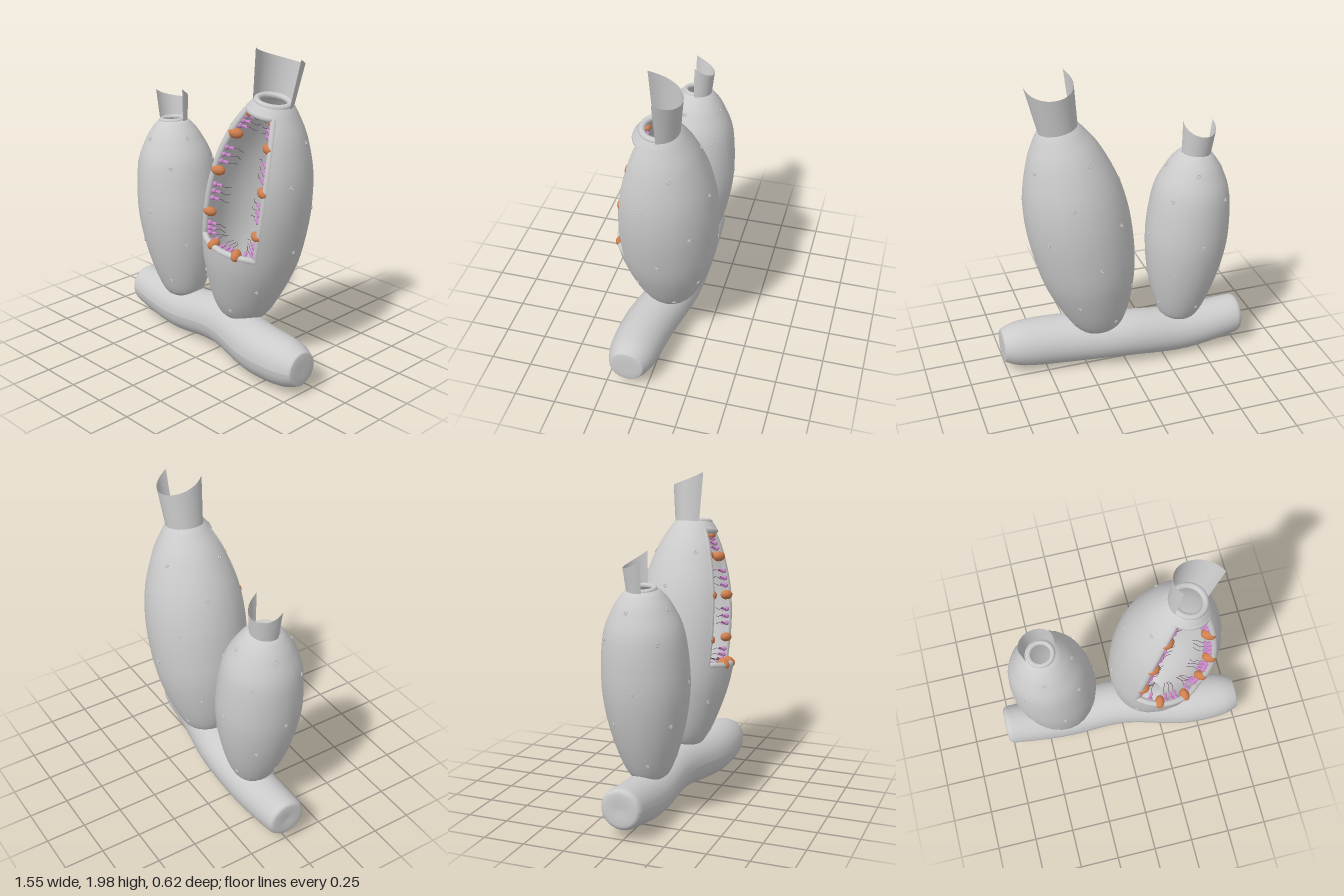
import * as THREE from 'three';

const RAD = Math.PI / 180;
const SEG = 24, START = -42 * RAD, CUT = 6; // the window spans 6 of 24 lathe segments
const mat = (color, side = THREE.FrontSide) => new THREE.MeshStandardMaterial({ color, side });
const grey = mat(0xcccccc), greyThin = mat(0xcccccc, THREE.DoubleSide);
const orange = mat(0xd08050), pink = mat(0xcc88cc), thread = mat(0x6a4a6a);

function add(parent, name, geometry, material = grey) {
  const mesh = new THREE.Mesh(geometry, material);
  mesh.name = name;
  parent.add(mesh);
  return mesh;
}

const profile = (pairs) =>
  new THREE.SplineCurve(pairs.map(([r, t]) => new THREE.Vector2(r, t))).getPoints(48);

// point on a body of revolution: phi = 0 is the front, +90 degrees the left side
const polar = (r, y, phi) => new THREE.Vector3(r * Math.sin(phi), y, r * Math.cos(phi));

// lathe with the quads of an optional window [row0, row1) left out
function wall(points, window) {
  const geo = new THREE.LatheGeometry(points, SEG, START);
  if (!window) return geo;
  const rows = points.length - 1, old = geo.index.array, kept = [];
  for (let q = 0; q < SEG * rows; q++) {
    const col = Math.floor(q / rows), row = q % rows;
    if (col < CUT && row >= window[0] && row < window[1]) continue;
    for (let k = 0; k < 6; k++) kept.push(old[q * 6 + k]);
  }
  geo.setIndex(kept);
  return geo;
}

// outer wall, inner lining, mouth ring and pores
function makeBody(parent, points, thick, window, poreRows) {
  const top = points[points.length - 1];
  add(parent, 'outerWall', wall(points, window));
  const inner = points.map((p) => new THREE.Vector2(Math.max(p.x - thick, 0), Math.max(p.y, thick)));
  add(parent, 'innerLining', wall(inner, window), mat(0xcccccc, window ? THREE.DoubleSide : THREE.BackSide));
  const ring = add(parent, 'mouthRing', new THREE.TorusGeometry(top.x - thick / 2, thick / 2, 10, 32));
  ring.rotation.x = Math.PI / 2;
  ring.position.y = top.y;

  const pore = new THREE.TorusGeometry(0.009, 0.004, 6, 12);
  poreRows.forEach((row, i) => {
    const p = points[row], a = points[row - 1], b = points[row + 1];
    for (let k = 0; k < 4; k++) {
      const phi = (k * 90 + i * 37 + 20) * RAD;
      const angle = (phi - START) % (2 * Math.PI);
      if (window && row > window[0] - 3 && row < window[1] + 2 && (angle < 1.75 || angle > 6.1)) continue;
      const m = add(parent, 'pore', pore);
      m.position.copy(polar(p.x, p.y, phi));
      const n = polar(b.y - a.y, a.x - b.x, phi).normalize();
      m.quaternion.setFromUnitVectors(new THREE.Vector3(0, 0, 1), n);
    }
  });
}

// flared collar open to the front, with raised corners
function makeCollar(parent, y, rBottom, rTop, from, sweep, low, right, left) {
  const geo = new THREE.CylinderGeometry(rTop, rBottom, 1, 28, 6, true, from * RAD, sweep * RAD);
  const pos = geo.attributes.position, uv = geo.attributes.uv;
  for (let i = 0; i < pos.count; i++) {
    const s = uv.getX(i) * 2 - 1;
    const height = low + s * s * ((s < 0 ? right : left) - low);
    pos.setY(i, (pos.getY(i) + 0.5) * height);
  }
  geo.computeVertexNormals();
  add(parent, 'collar', geo, greyThin).position.y = y;
}

// rounded frame along the edges of the window
function makeFrame(parent, points, thick, [row0, row1]) {
  const loop = [], end = START + CUT * 2 * Math.PI / SEG;
  const at = (row, phi) => loop.push(polar(points[row].x - thick / 2, points[row].y, phi));
  for (let j = row0; j < row1; j++) at(j, START);
  for (let k = 0; k < 12; k++) at(row1, START + (end - START) * k / 12);
  for (let j = row1; j > row0; j--) at(j, end);
  for (let k = 0; k < 12; k++) at(row0, end - (end - START) * k / 12);
  const curve = new THREE.CatmullRomCurve3(loop, true, 'centripetal');
  add(parent, 'windowFrame', new THREE.TubeGeometry(curve, 200, thick / 2 + 0.001, 8, true));
}

// pink collar cell with a wavy thread, pointing along +y
function makeCollarCell(i) {
  const cell = new THREE.Group();
  cell.name = 'collarCell';
  add(cell, 'cellBody', new THREE.SphereGeometry(0.016, 10, 8), pink);
  add(cell, 'cellCollar', new THREE.CylinderGeometry(0.011, 0.007, 0.03, 8, 1, true),
    mat(0xcc88cc, THREE.DoubleSide)).position.y = 0.026;
  const path = [0, 1, 2, 3, 4, 5].map((k) =>
    new THREE.Vector3(Math.sin(k * 1.5 + i) * 0.008 * k / 5, 0.015 + k * 0.018, Math.cos(k * 1.5 + i) * 0.004));
  add(cell, 'flagellum', new THREE.TubeGeometry(new THREE.CatmullRomCurve3(path), 14, 0.0016, 4), thread);
  return cell;
}

// cells lining both upright edges and the sill of the window
function makeCells(parent, points, thick, [row0]) {
  const radiusAt = (t) => points.reduce((a, p) => (Math.abs(p.y - t) < Math.abs(a.y - t) ? p : a)).x - thick;
  const up = new THREE.Vector3(0, 1, 0);
  const place = (obj, t, phi, dir, inset) => {
    obj.position.copy(polar(radiusAt(t) - inset, t, phi));
    obj.quaternion.setFromUnitVectors(up, dir.normalize());
    parent.add(obj);
  };
  const blob = (size) => {
    const m = new THREE.Mesh(new THREE.SphereGeometry(0.034 * size, 12, 10), orange);
    m.name = 'roundCell';
    m.scale.set(0.85, 1.2, 0.95);
    return m;
  };
  const end = START + CUT * 2 * Math.PI / SEG;
  for (const side of [-1, 1]) {
    const edge = side < 0 ? START + 0.05 : end - 0.05;
    const inward = polar(-0.75, 0, edge).add(new THREE.Vector3(-side * 0.7, 0, 0));
    [0.7, 0.97, 1.21, 1.34].forEach((t, i) =>
      place(blob([1, 1.05, 1.1, 0.75][i]), t, edge, inward.clone(), 0));
    [0.56, 0.59, 0.625, 0.79, 0.835, 0.88, 1.03, 1.075, 1.12, 1.26, 1.29, 1.32].forEach((t, i) =>
      place(makeCollarCell(i + side), t, edge, inward.clone(), 0.004));
  }
  const sill = points[row0].y;
  [-0.2, 0.42].forEach((phi) => place(blob(1), sill + 0.01, phi, polar(-1, 0.5, phi), -0.01));
  [-0.42, -0.05, 0.1, 0.22, 0.6].forEach((phi, i) =>
    place(makeCollarCell(i), sill, phi, polar(-1, 0.3, phi), 0.004));
}

// creeping base: a capped lathe laid along x and bent along a curve
function makeBase(parent) {
  const outline = profile([[0, -0.77], [0.08, -0.775], [0.118, -0.76], [0.13, -0.69], [0.143, -0.4],
    [0.15, 0], [0.157, 0.4], [0.145, 0.64], [0.112, 0.75], [0.085, 0.77], [0, 0.772]]);
  const geo = new THREE.LatheGeometry(outline, 28).rotateZ(-Math.PI / 2);
  const bend = new THREE.CatmullRomCurve3([[-0.78, 0.2, -0.01], [-0.39, 0.155, 0], [0, 0.19, 0.005],
    [0.39, 0.175, 0.09], [0.78, 0.18, 0.12]].map((p) => new THREE.Vector3(...p)));
  const pos = geo.attributes.position;
  for (let i = 0; i < pos.count; i++) {
    const x = pos.getX(i), c = bend.getPoint(THREE.MathUtils.clamp((x + 0.78) / 1.56, 0, 1));
    pos.setXYZ(i, x, pos.getY(i) + c.y, pos.getZ(i) + c.z);
  }
  geo.computeVertexNormals();
  add(parent, 'base', geo);
}

export function createModel() {
  const model = new THREE.Group();
  model.name = 'tubeSponge';
  makeBase(model);

  // closed small tube
  const small = new THREE.Group();
  small.name = 'smallTube';
  small.position.set(-0.36, 0.25, 0.005);
  small.rotation.z = 4.9 * RAD;
  const smallPts = profile([[0, 0], [0.09, 0.02], [0.14, 0.08], [0.2, 0.25], [0.243, 0.45], [0.258, 0.65],
    [0.235, 0.9], [0.175, 1.05], [0.12, 1.13], [0.085, 1.16]]);
  makeBody(small, smallPts, 0.03, null, [13, 20, 26, 32, 38]);
  makeCollar(small, 1.155, 0.092, 0.105, 92, 196, 0.13, 0.2, 0.19);
  model.add(small);

  // large tube with a window showing the lining cells
  const large = new THREE.Group();
  large.name = 'largeTube';
  large.position.set(0.15, 0.28, 0);
  large.rotation.z = -10 * RAD;
  const largePts = profile([[0, 0], [0.1, 0.02], [0.155, 0.06], [0.22, 0.2], [0.285, 0.42], [0.31, 0.63],
    [0.312, 0.84], [0.285, 1.04], [0.22, 1.24], [0.15, 1.37], [0.115, 1.42]]);
  const rowAt = (t) => largePts.findIndex((p) => p.y >= t);
  const window = [rowAt(0.51), rowAt(1.35)];
  makeBody(large, largePts, 0.038, window, [12, 17, 23, 28, 33, 38]);
  makeFrame(large, largePts, 0.038, window);
  makeCells(large, largePts, 0.038, window);
  makeCollar(large, 1.415, 0.118, 0.142, 95, 209, 0.22, 0.3, 0.3);
  model.add(large);

  return model;
}
